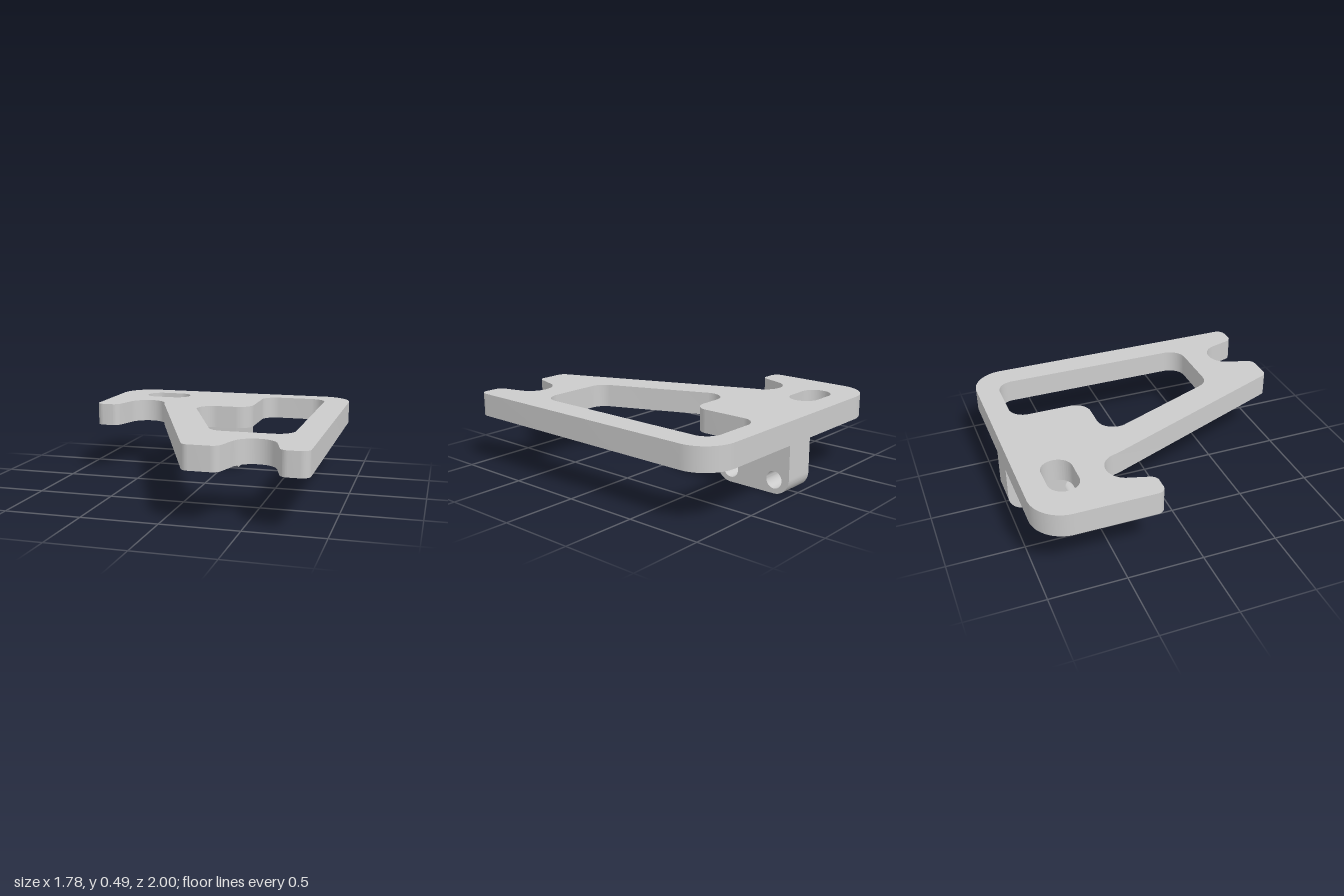
import * as THREE from 'three';
import { toCreasedNormals } from 'three/addons/utils/BufferGeometryUtils.js';

// Traces a closed polygon of [x, y, radius] corners, each rounded by a tangent arc.
function rounded(path, corners) {
  const n = corners.length;
  const pts = corners.map(([x, y]) => new THREE.Vector2(x, y));
  corners.forEach(([, , r], i) => {
    const p = pts[i];
    const a = pts[(i + n - 1) % n].clone().sub(p).normalize();
    const b = pts[(i + 1) % n].clone().sub(p).normalize();
    const half = Math.acos(a.dot(b)) / 2;
    const start = p.clone().addScaledVector(a, r / Math.tan(half));
    const end = p.clone().addScaledVector(b, r / Math.tan(half));
    if (i === 0) path.moveTo(start.x, start.y);
    else path.lineTo(start.x, start.y);
    if (r > 0) {
      const c = p.clone().addScaledVector(a.clone().add(b).normalize(), r / Math.sin(half));
      path.absarc(c.x, c.y, r,
        Math.atan2(start.y - c.y, start.x - c.x),
        Math.atan2(end.y - c.y, end.x - c.x),
        a.cross(b) > 0);
    }
  });
  path.closePath();
  return path;
}

function extrude(shape, depth) {
  return new THREE.ExtrudeGeometry(shape, { depth, bevelEnabled: false, curveSegments: 20 });
}

export function createModel() {
  const group = new THREE.Group();
  const material = new THREE.MeshStandardMaterial({ color: 0xcccccc });
  const add = (name, geometry) => {
    const mesh = new THREE.Mesh(toCreasedNormals(geometry, 0.35), material);
    mesh.name = name;
    group.add(mesh);
  };

  // Plate outline in x, z, with a flared notch at the front and one at the left foot
  const plate = rounded(new THREE.Shape(), [
    [-0.888, -1, 0.22], [0.888, -1, 0.22], [0.888, 1, 0.055],
    [0.722, 1, 0.055], [0.643, 0.73, 0.135], [0.437, 0.73, 0.135], [0.358, 1, 0.055],
    [0.144, 1, 0.058],
    [-0.408, -0.338, 0], [-0.442, -0.47, 0.135], [-0.648, -0.47, 0.135],
    [-0.727, -0.205, 0.055], [-0.888, -0.205, 0.055],
  ]);

  // Large window and slot
  plate.holes.push(
    rounded(new THREE.Path(), [
      [0.24, -0.85, 0.11], [0.71, -0.85, 0.11], [0.71, 0.555, 0.115],
      [0.193, 0.555, 0.115], [-0.178, -0.34, 0.115], [0.24, -0.34, 0.11],
    ]),
    rounded(new THREE.Path(), [
      [-0.67, -0.848, 0.1], [-0.335, -0.848, 0.1], [-0.335, -0.645, 0.1], [-0.67, -0.645, 0.1],
    ]),
  );
  add('plate', extrude(plate, 0.155).rotateX(Math.PI / 2).translate(0, 0.49, 0));

  // Mounting lug under the rear edge, profile in z, y, with two cross holes
  const lug = rounded(new THREE.Shape(), [
    [-1, 0, 0.11], [-0.445, 0, 0.11], [-0.445, 0.335, 0], [-1, 0.335, 0],
  ]);
  for (const z of [-0.89, -0.555]) {
    lug.holes.push(new THREE.Path().absarc(z, 0.09, 0.057, 0, Math.PI * 2));
  }
  add('mountingLug', extrude(lug, 0.222).rotateY(-Math.PI / 2).translate(0.111, 0, 0));

  return group;
}
